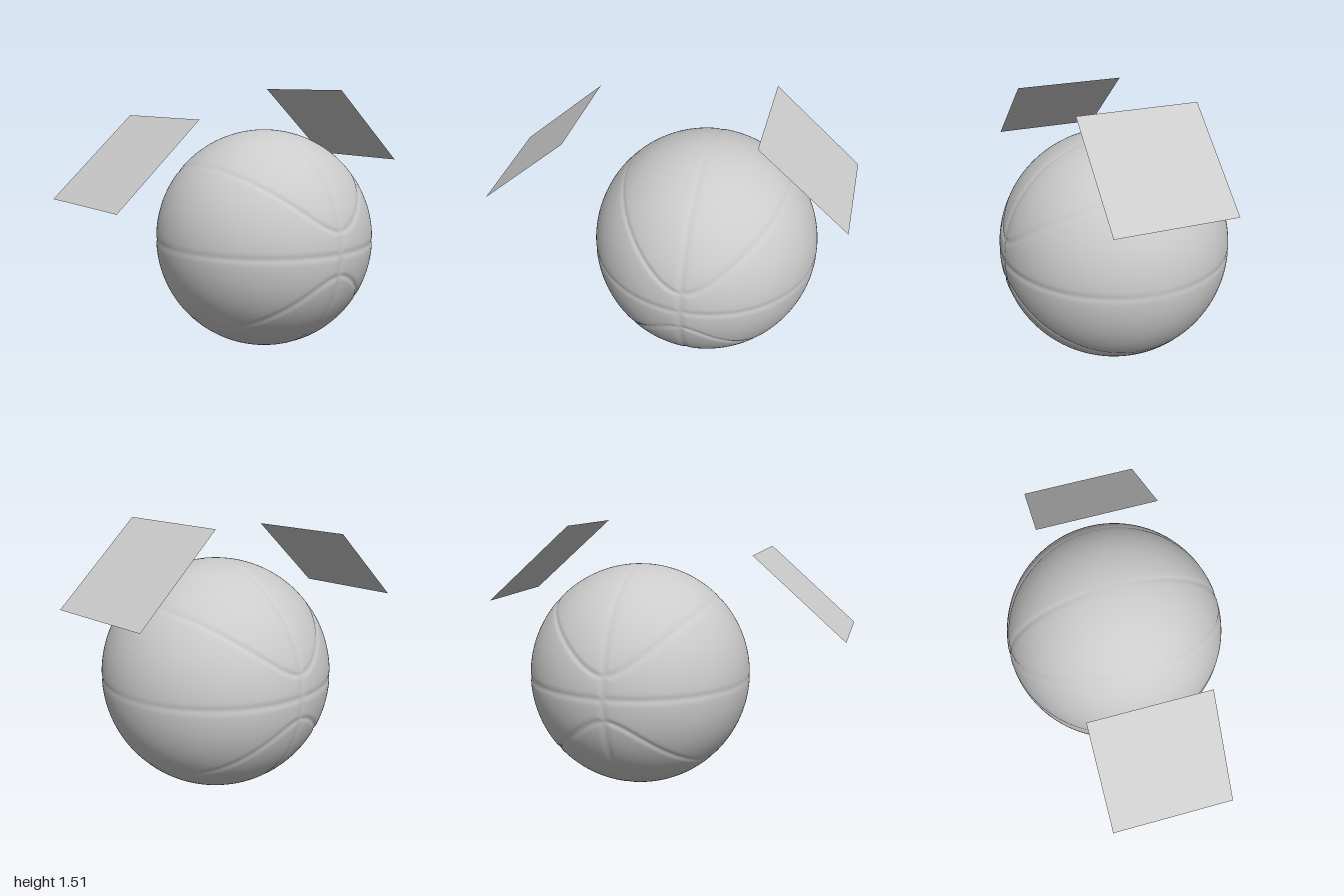
import * as THREE from 'three';
import { mergeVertices } from 'three/addons/utils/BufferGeometryUtils.js';

const R = 0.643;
const material = new THREE.MeshStandardMaterial({ color: 0xcccccc, roughness: 0.8 });
const panelMaterial = new THREE.MeshStandardMaterial({ color: 0xcccccc, side: THREE.DoubleSide });

// Distance along the surface to the two curved seams y² = k x² + a²
function curvedSeamDistance(p, n) {
  const k = 0.93, a = 0.123;
  const f = p.y * p.y - k * p.x * p.x - a * a;
  const g = new THREE.Vector3(-2 * k * p.x, 2 * p.y, 0);
  g.addScaledVector(n, -g.dot(n));
  return Math.abs(f) / Math.max(g.length(), 0.05);
}

const groove = (d, width) => Math.exp(-((d / width) ** 2));

// Smooth ball whose seams are pressed into the surface, deepest at front and back
function createBall() {
  let geo = new THREE.SphereGeometry(R, 280, 180);
  geo.deleteAttribute('uv');
  geo.deleteAttribute('normal');
  geo = mergeVertices(geo, 1e-5);
  const pos = geo.attributes.position;
  const p = new THREE.Vector3(), n = new THREE.Vector3();
  for (let i = 0; i < pos.count; i++) {
    p.fromBufferAttribute(pos, i);
    n.copy(p).normalize();
    const front = Math.abs(n.z);
    const press = Math.max(
      groove(p.y, 0.016) * (0.35 + 0.45 * front),                        // equator seam
      groove(p.x, 0.016) * 0.8 * front,                                  // upright seam
      groove(curvedSeamDistance(p, n), 0.013) * (0.25 + 0.75 * front)    // curved seams
    );
    p.addScaledVector(n, -0.007 * press);
    pos.setXYZ(i, p.x, p.y, p.z);
  }
  geo.computeVertexNormals();
  const ball = new THREE.Mesh(geo, material);
  ball.name = 'ball';
  ball.position.set(0.205, R + 0.003, 0);
  return ball;
}

// Thin rectangular panel sloping down and outward on one side
function createPanel(name, side, y) {
  const dx = 0.49, dy = 0.43;
  const geo = new THREE.PlaneGeometry(Math.hypot(dx, dy), 0.65);
  geo.rotateX(-Math.PI / 2);
  const panel = new THREE.Mesh(geo, panelMaterial);
  panel.name = name;
  panel.rotation.z = -side * Math.atan2(dy, dx);
  panel.position.set(side * 0.755, y, 0);
  return panel;
}

export function createModel() {
  const model = new THREE.Group();
  model.name = 'ballWithPanels';
  model.add(
    createBall(),
    createPanel('leftPanel', 1, 1.303),
    createPanel('rightPanel', -1, 1.167)
  );
  return model;
}
